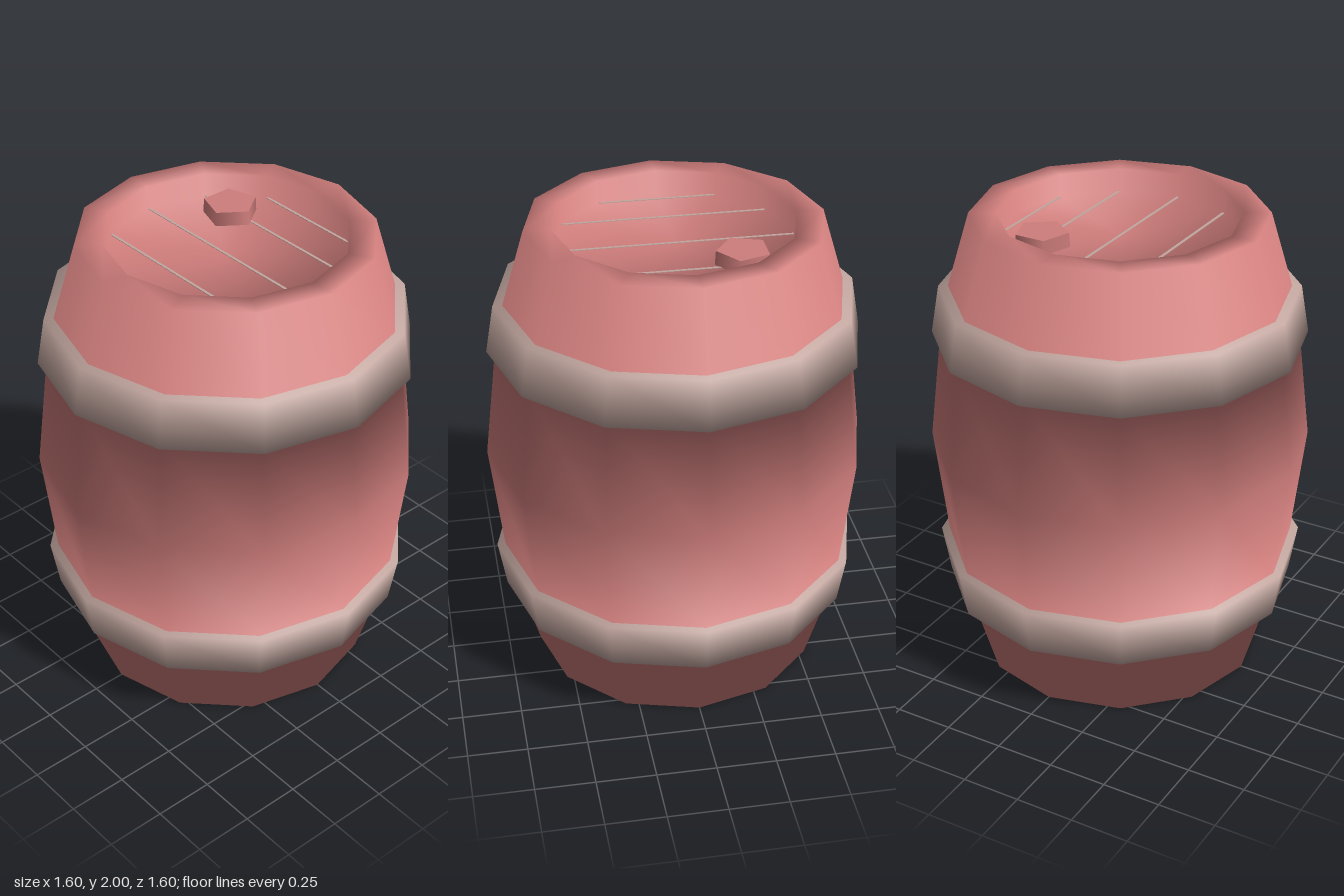
import * as THREE from 'three';

const SIDES = 12;

// Lower half of the barrel outline, from the middle of the bottom lid up to the belly
const LOWER = [
  [0, 0.1], [0.5, 0.1], [0.5, 0], [0.61, 0], [0.705, 0.32],
  [0.745, 0.32], [0.78, 0.525], [0.745, 0.525], [0.8, 1],
];
const UPPER = LOWER.slice(0, -1).reverse().map(([r, y]) => [r, 2 - y]);
const PROFILE = [...LOWER, ...UPPER].map(([r, y]) => new THREE.Vector2(r, y));

// Lathe whose normals blend evenly over each outline corner
function makeShell() {
  const geo = new THREE.LatheGeometry(PROFILE, SIDES);
  const n = PROFILE.length;
  const edge = [];
  for (let j = 0; j < n - 1; j++) {
    const d = PROFILE[j + 1].clone().sub(PROFILE[j]);
    edge.push(new THREE.Vector2(d.y, -d.x).normalize());
  }
  for (let j = 0; j < n; j++) {
    const m = edge[Math.max(j - 1, 0)].clone().add(edge[Math.min(j, n - 2)]).normalize();
    for (let i = 0; i <= SIDES; i++) {
      const a = (i / SIDES) * Math.PI * 2;
      geo.attributes.normal.setXYZ(i * n + j, m.x * Math.sin(a), m.y, m.x * Math.cos(a));
    }
  }
  return geo;
}

// Takes the bands from..to-1 of the shell as a separate part
function bands(shell, from, to) {
  const rows = PROFILE.length - 1;
  const src = shell.index.array;
  const index = [];
  for (let i = 0; i < SIDES; i++) {
    const start = i * rows * 6;
    for (let k = from * 6; k < to * 6; k++) index.push(src[start + k]);
  }
  const geo = new THREE.BufferGeometry();
  for (const key of ['position', 'normal', 'uv']) geo.setAttribute(key, shell.attributes[key].clone());
  geo.setIndex(index);
  return geo;
}

export function createModel() {
  const wood = new THREE.MeshStandardMaterial({ color: 0xce7d7b });
  wood.name = 'redWood';
  const metal = new THREE.MeshStandardMaterial({ color: 0xc2a69f });
  metal.name = 'paleMetal';

  const barrel = new THREE.Group();
  barrel.name = 'barrel';
  const add = (name, geo, mat, x = 0, y = 0, z = 0) => {
    const mesh = new THREE.Mesh(geo, mat);
    mesh.name = name;
    mesh.position.set(x, y, z);
    barrel.add(mesh);
    return mesh;
  };

  // Staves, hoops and recessed lids
  const shell = makeShell();
  const parts = [
    ['bottomLid', 0, 1, wood], ['bottomStaves', 1, 4, wood],
    ['lowerHoop', 4, 7, metal], ['middleStaves', 7, 9, wood],
    ['upperHoop', 9, 12, metal], ['topStaves', 12, 15, wood],
    ['topLid', 15, 16, wood],
  ];
  for (const [name, from, to, mat] of parts) add(name, bands(shell, from, to), mat);

  // Thin seams between the lid planks
  for (const y of [0.1, 1.9]) {
    for (const k of [-2, -1, 0, 1, 2]) {
      const a = (k * Math.PI) / 6;
      const seam = new THREE.BoxGeometry(0.012, 0.004, 0.98 * Math.cos(a));
      add('lidSeam', seam, metal, 0.5 * Math.sin(a), y, 0);
    }
  }

  // Five-sided bung in the top lid
  add('bung', new THREE.CylinderGeometry(0.112, 0.116, 0.065, 5), wood, 0.224, 1.9275, -0.236);

  return barrel;
}
